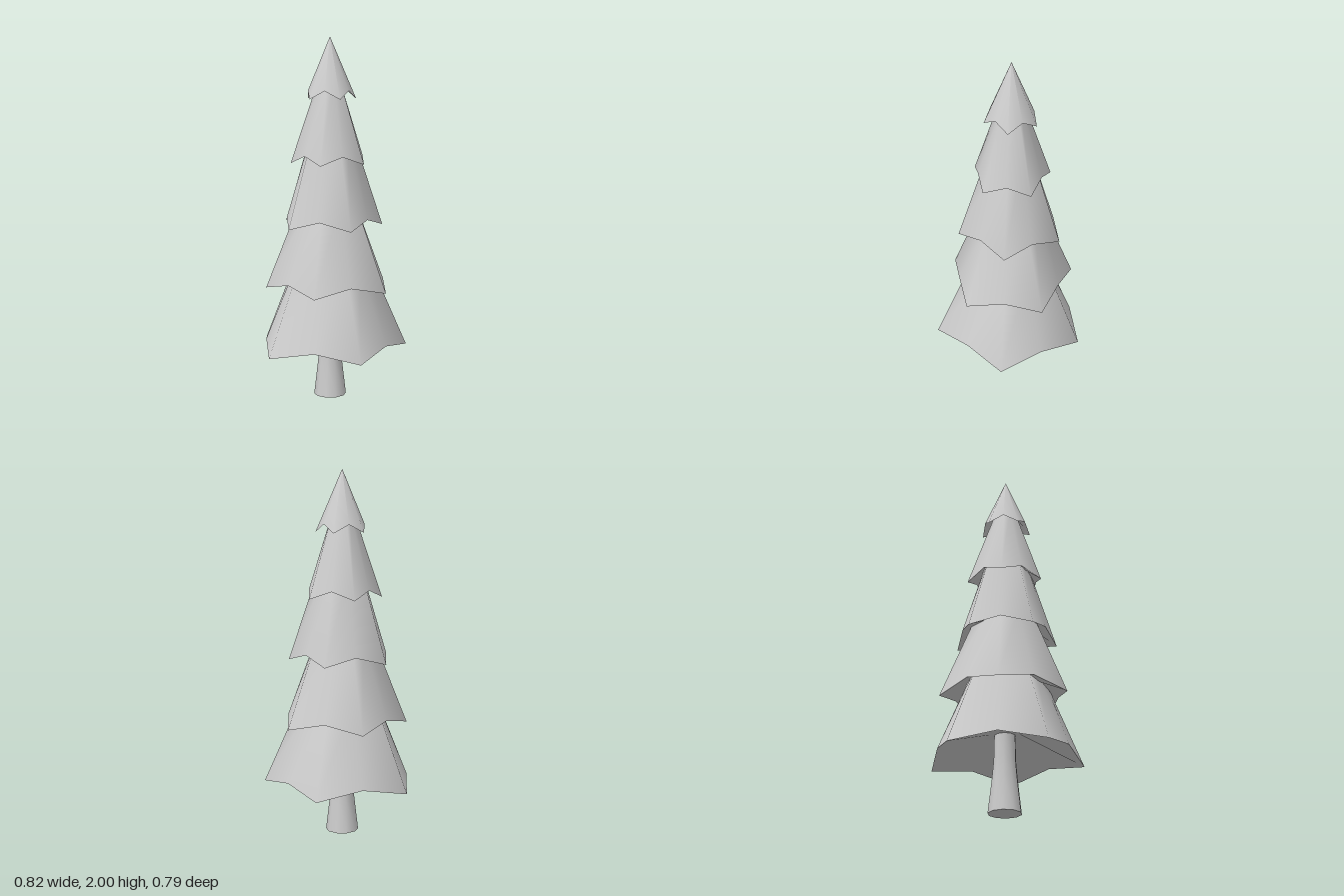
import * as THREE from 'three';
import { mergeGeometries, toCreasedNormals } from 'three/addons/utils/BufferGeometryUtils.js';

const SIDES = 10;      // five tips with a notch between each pair
const AXIS_Z = -0.037; // the trunk axis sits slightly behind the centre

// Ten-point star ring: even points are tips, odd points are notches
function starRing(tipR, tipY, notchR, notchY, turn) {
  return Array.from({ length: SIDES }, (_, i) => {
    const a = (i * 2 * Math.PI) / SIDES + turn;
    const r = i % 2 ? notchR : tipR;
    return [r * Math.sin(a), i % 2 ? notchY : tipY, r * Math.cos(a)];
  });
}

// Smooth surface between two rings
function band(lower, upper) {
  const g = new THREE.BufferGeometry();
  g.setAttribute('position', new THREE.Float32BufferAttribute([...lower, ...upper].flat(), 3));
  const index = [];
  for (let i = 0; i < SIDES; i++) {
    const j = (i + 1) % SIDES;
    index.push(i, j, SIDES + j, i, SIDES + j, SIDES + i);
  }
  g.setIndex(index);
  g.computeVertexNormals();
  return g;
}

function tierGeometry({ tip, notch, y, top, topY }, level) {
  const turn = level % 2 ? Math.PI / SIDES * 2 : 0; // alternate tiers are turned
  const rim = starRing(tip, y, notch, y + 0.045, turn);
  const crown = starRing(top, topY, top * 0.83, topY, turn);
  const inner = starRing(tip * 0.28, y + 0.14, tip * 0.19, y + 0.14, turn);
  const centre = starRing(0, y + 0.14, 0, y + 0.14, turn);
  let outside = band(rim, crown);
  outside = top === 0 ? toCreasedNormals(outside, 0.8) : outside.toNonIndexed();
  return mergeGeometries([
    outside,
    band(inner, rim).toNonIndexed(),    // hollow underside
    band(centre, inner).toNonIndexed(), // small star around the trunk
  ]);
}

export function createModel() {
  const tree = new THREE.Group();
  tree.name = 'tree';
  const material = new THREE.MeshStandardMaterial({ color: 0xcccccc });
  const add = (name, geometry) => {
    const mesh = new THREE.Mesh(geometry, material);
    mesh.name = name;
    mesh.position.z = AXIS_Z;
    tree.add(mesh);
  };

  // Flared trunk
  const profile = [[0, 0], [0.09, 0], [0.068, 0.19], [0.06, 0.28], [0.057, 0.44]];
  const trunk = new THREE.LatheGeometry(profile.map(([r, y]) => new THREE.Vector2(r, y)), SIDES);
  add('trunk', toCreasedNormals(trunk, 0.9));

  // Branch tiers, from the ground up
  const tiers = [
    { tip: 0.432, notch: 0.359, y: 0.28, top: 0.222, topY: 0.76 },
    { tip: 0.357, notch: 0.297, y: 0.62, top: 0.167, topY: 1.1 },
    { tip: 0.292, notch: 0.239, y: 0.97, top: 0.133, topY: 1.45 },
    { tip: 0.216, notch: 0.179, y: 1.315, top: 0.06, topY: 1.78 },
    { tip: 0.144, notch: 0.12, y: 1.665, top: 0, topY: 2 },
  ];
  tiers.forEach((tier, i) => add(`branchTier${i + 1}`, tierGeometry(tier, i)));

  return tree;
}
